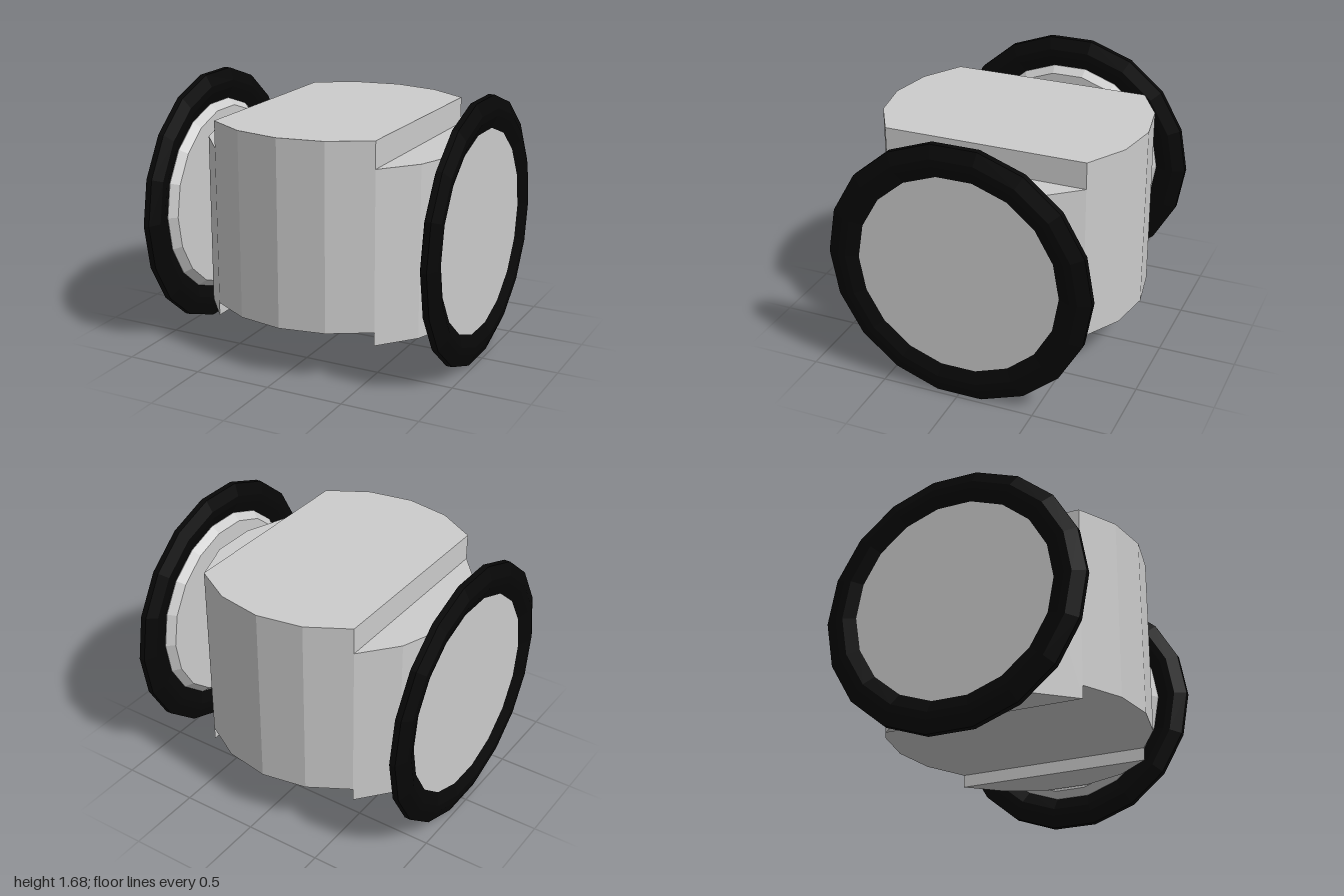
import * as THREE from 'three';

const SIDES = 18;
const RADIUS = 0.853;
const AXLE_Y = 0.84;

export function createModel() {
  const model = new THREE.Group();
  const grey = new THREE.MeshStandardMaterial({ color: 0xcccccc, flatShading: true });
  const black = new THREE.MeshStandardMaterial({ color: 0x070707, flatShading: true });

  function add(parent, name, geometry, material) {
    const mesh = new THREE.Mesh(geometry, material);
    mesh.name = name;
    parent.add(mesh);
    return mesh;
  }

  // Vertical prism whose outline joins corners of the 18-sided body
  function bodySlice(name, angles, bottom, top) {
    const outline = angles.map((deg) => {
      const a = THREE.MathUtils.degToRad(deg);
      return new THREE.Vector2(RADIUS * Math.sin(a), RADIUS * Math.cos(a));
    });
    const geometry = new THREE.ExtrudeGeometry(new THREE.Shape(outline), { depth: top - bottom, bevelEnabled: false });
    geometry.rotateX(-Math.PI / 2).translate(0, bottom, 0);
    add(model, name, geometry, grey);
  }

  // Body: raised middle band and two lower side segments
  bodySlice('bodyCentre', [-40, -20, 0, 20, 40, 140, 160, 180, 200, 220], 0.331, 1.523);
  bodySlice('bodySideLeft', [40, 60, 80, 100, 120, 140], 0.246, 1.352);
  bodySlice('bodySideRight', [220, 240, 260, 280, 300, 320], 0.246, 1.352);

  // Profiles as [radius, distance from the model's middle]
  const tyreProfile = [
    [0.65, 0.925], [0.728, 0.893], [0.774, 0.893], [RADIUS, 0.927],
    [RADIUS, 0.966], [0.774, 1], [0.728, 1], [0.65, 0.968],
  ];
  const hubProfile = [[0, 0.873], [0.607, 0.873], [0.65, 0.922], [0.65, 0.968], [0, 0.968]];
  const lathe = (profile) =>
    new THREE.LatheGeometry(profile.map(([r, h]) => new THREE.Vector2(r, h)), SIDES);

  // Wheels: tyre bevelled inside and out, around a solid hub
  for (const [name, side] of [['wheelLeft', 1], ['wheelRight', -1]]) {
    const wheel = new THREE.Group();
    wheel.name = name;
    add(wheel, 'tyre', lathe(tyreProfile), black);
    add(wheel, 'hub', lathe(hubProfile), grey);
    wheel.rotation.z = -side * Math.PI / 2;
    wheel.position.y = AXLE_Y;
    model.add(wheel);
  }

  return model;
}
